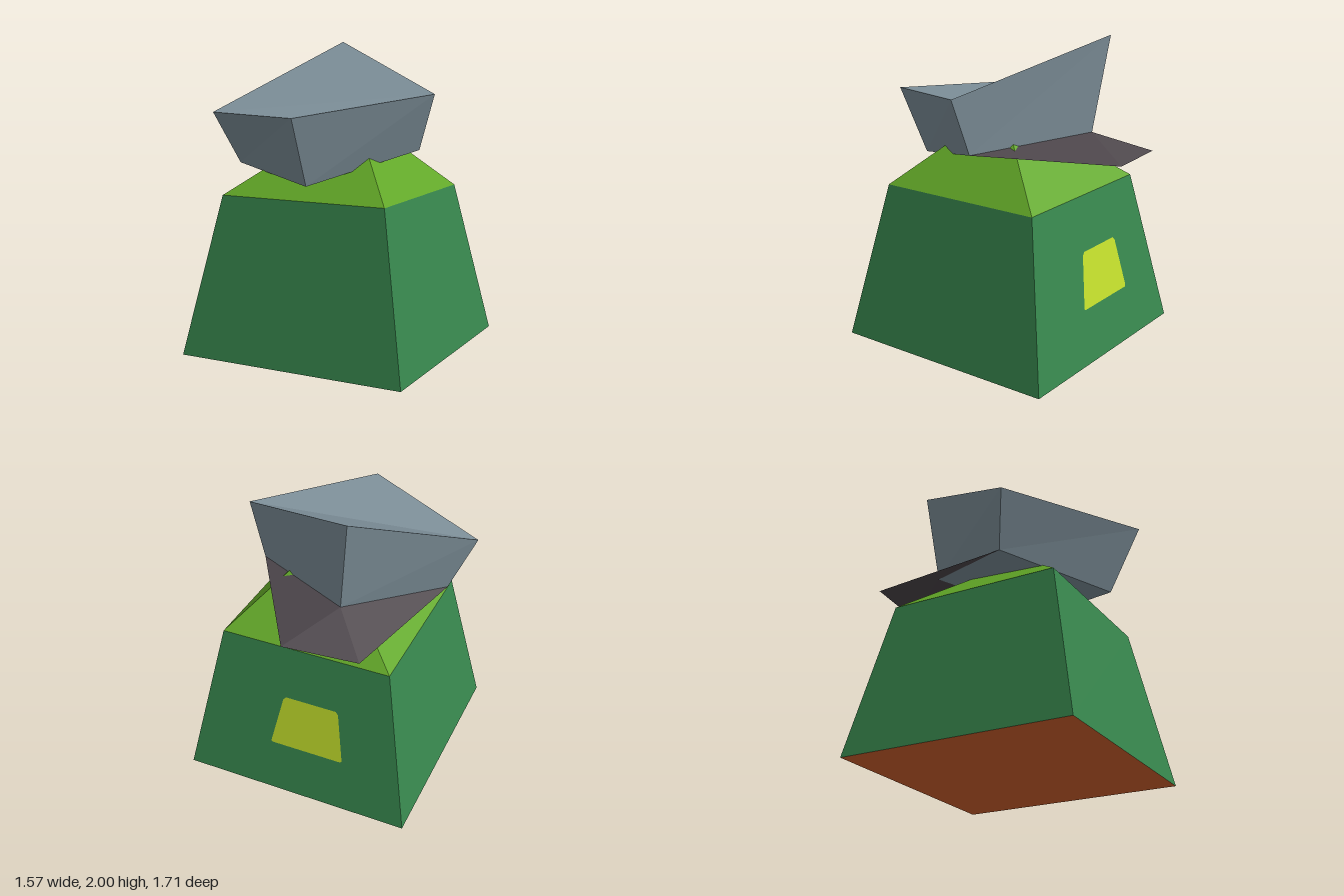
import * as THREE from 'three';

// Flat-shaded mesh from corner lists; each face is a fan of triangles
function facets(name, material, faces) {
  const positions = [];
  for (const f of faces) {
    for (let i = 1; i < f.length - 1; i++) positions.push(...f[0], ...f[i], ...f[i + 1]);
  }
  const geometry = new THREE.BufferGeometry();
  geometry.setAttribute('position', new THREE.Float32BufferAttribute(positions, 3));
  geometry.computeVertexNormals();
  const mesh = new THREE.Mesh(geometry, material);
  mesh.name = name;
  return mesh;
}

// Side walls between two rings running counterclockwise seen from above
const walls = (low, high) => low.map((p, i) => {
  const j = (i + 1) % low.length;
  return [p, low[j], high[j], high[i]];
});

// Rectangular ring at height y
const ring = (x0, x1, z0, z1, y) => [[x0, y, z1], [x1, y, z1], [x1, y, z0], [x0, y, z0]];

export function createModel() {
  const mat = (name, color, side = THREE.FrontSide) => {
    const m = new THREE.MeshStandardMaterial({ color, side, flatShading: true });
    m.name = name;
    return m;
  };
  const green = mat('green', 0x38884e);
  const lime = mat('lime', 0x62a827);
  const grey = mat('slate grey', 0x7f919b);
  const dark = mat('dark mauve', 0x4e474c, THREE.DoubleSide);
  const brown = mat('orange brown', 0xd8652f);
  const yellow = mat('yellow green', 0xc4e02c);

  const group = new THREE.Group();
  group.name = 'model';

  // Tapered body with an orange-brown underside
  const base = ring(-0.755, 0.783, -0.787, 0.753, 0);
  const shoulder = ring(-0.56, 0.58, -0.585, 0.555, 1.03);
  group.add(facets('body', green, walls(base, shoulder)));
  group.add(facets('underside', brown, [[...base].reverse()]));

  // Off-centre pyramid on the shoulders
  const apex = [0.1, 1.545, -0.015];
  group.add(facets('pyramidTop', lime, shoulder.map((p, i) => [p, shoulder[(i + 1) % 4], apex])));

  // Skewed block resting over the pyramid
  const low = [[-0.635, 1.203, 0.225], [0.1, 1.138, 0.642], [0.53, 1.313, -0.08], [-0.2, 1.38, -0.5]];
  const high = [[-0.785, 1.54, 0.32], [0.123, 1.563, 0.853], [0.648, 1.675, -0.04], [-0.275, 2, -0.575]];
  group.add(facets('headBlock', grey, [...walls(low, high), high, [...low].reverse()]));

  // Thin folded brim hanging off the back of the block
  const [left, , right, peak] = low;
  const tipA = [-0.455, 1.25, -0.803], tipB = [0.025, 1.26, -0.855];
  group.add(facets('brim', dark, [[left, peak, tipA], [peak, tipB, tipA], [peak, right, tipB]]));

  // Patch lying on the sloping back wall, slightly clipped corners
  const outline = [[0.197, 0.35], [0.19, 0.34], [-0.295, 0.34], [-0.305, 0.35],
    [-0.253, 0.67], [-0.235, 0.69], [0.11, 0.69], [0.13, 0.67]];
  group.add(facets('backPatch', yellow, [outline.map(([x, y]) => [x, y, -0.791 + 0.196 * y])]));

  return group;
}
